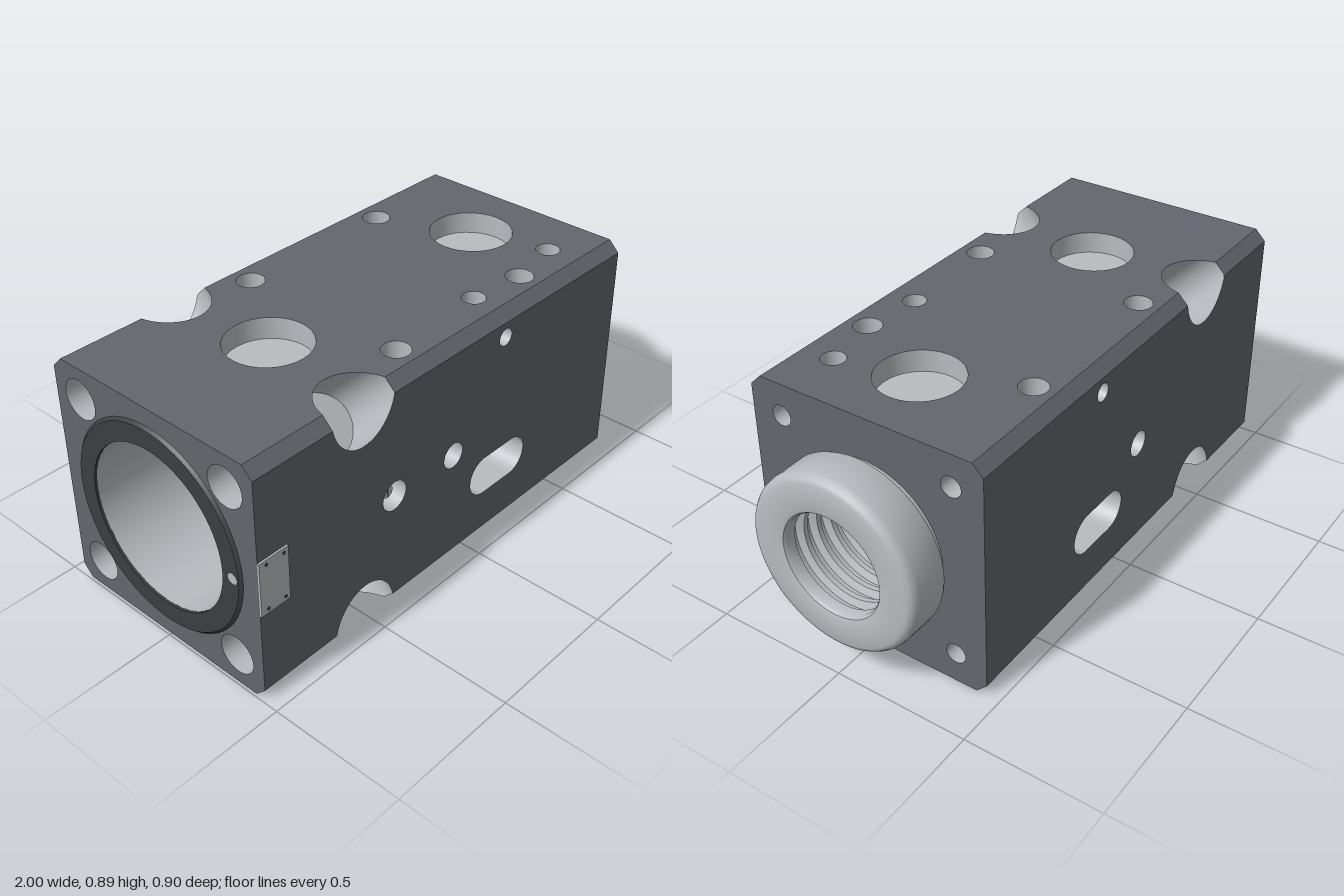
import * as THREE from 'three';
import { toCreasedNormals } from 'three/addons/utils/BufferGeometryUtils.js';
import { ParametricGeometry } from 'three/addons/geometries/ParametricGeometry.js';

const X0 = -0.99, X1 = 0.81;            // block ends
const H = 0.446, C = 0.04, E = H - C;   // half section, chamfer, flat edge
const NX = -0.53, NA = 0.14, NB = 0.166, ND = 0.286; // corner pockets
const BORE = 0.3;
const SLOT = { x: 0.155, y: -0.176, r: 0.075, half: 0.075 };

const paint = new THREE.MeshStandardMaterial({ color: 0x63666d });
const metal = new THREE.MeshStandardMaterial({ color: 0xb8bcc0 });
const metal2 = new THREE.MeshStandardMaterial({ color: 0xb8bcc0, side: THREE.DoubleSide });
const dark = new THREE.MeshStandardMaterial({ color: 0x3c3e42, side: THREE.DoubleSide });

function add(parent, name, geometry, material) {
  const mesh = new THREE.Mesh(geometry, material);
  mesh.name = name;
  parent.add(mesh);
  return mesh;
}

const surface = (fn, nu, nv) => new ParametricGeometry((u, v, p) => p.set(...fn(u, v)), nu, nv);

// Round hole below a local z = top plane: wall plus floor
function addHole(parent, [x, y, r, depth, open], top) {
  const wall = add(parent, 'holeWall', new THREE.CylinderGeometry(r, r, depth, 32, 1, true), metal2);
  wall.rotation.x = Math.PI / 2;
  wall.position.set(x, y, top - depth / 2);
  if (open) return;
  add(parent, 'holeFloor', new THREE.CircleGeometry(r, 32), metal).position.set(x, y, top - depth);
}

const circlePath = (x, y, r) => new THREE.Path().absarc(x, y, r, 0, Math.PI * 2, true);

function slotPath(y) {
  const { x, r, half } = SLOT;
  const path = new THREE.Path();
  path.absarc(x + half, y, r, -Math.PI / 2, Math.PI / 2, false);
  path.absarc(x - half, y, r, Math.PI / 2, Math.PI * 1.5, false);
  path.closePath();
  return path;
}

// Long face outline with half-elliptic pocket cut-outs on both edges
function sideShape() {
  const a = Math.asin(C / NB), pts = [[X0, -E]];
  const arc = (sign) => {
    for (let i = 0; i <= 24; i++) {
      const t = a + (Math.PI - 2 * a) * i / 24;
      pts.push([NX + sign * NA * Math.cos(t), sign * (H - NB * Math.sin(t))]);
    }
  };
  const lower = pts.length;
  arc(1);
  // reverse the lower arc into left-to-right order and mirror it down
  const seg = pts.splice(lower).reverse().map(([x, y]) => [x, -y]);
  pts.push(...seg, [X1, -E], [X1, E]);
  arc(1);
  pts.push([X0, E]);
  return new THREE.Shape(pts.map((p) => new THREE.Vector2(...p)));
}

// One long side with its holes, chamfer and corner pocket
function addSide(parent, name, angle, holes, slotY) {
  const g = new THREE.Group();
  g.name = name;
  g.rotation.x = angle;
  parent.add(g);
  const shape = sideShape();
  holes.forEach(([x, y, r]) => shape.holes.push(circlePath(x, y, r)));
  if (slotY) shape.holes.push(slotPath(slotY));
  add(g, 'sideFace', new THREE.ShapeGeometry(shape, 16), paint).position.z = H;
  holes.forEach((h) => addHole(g, h, H));

  // slot wall running from the face to the bore
  if (slotY) {
    const pts = slotPath(slotY).getSpacedPoints(64);
    add(g, 'slotWall', surface((u, v) => {
      const p = pts[Math.round(u * 64)];
      const inner = Math.sqrt(BORE * BORE - p.y * p.y);
      return [p.x, p.y, H + (inner - H) * v];
    }, 64, 1), metal2);
  }

  // chamfer strips either side of the pocket
  const w = NA * Math.sqrt(1 - (C / NB) ** 2);
  for (const [a, b] of [[X0, NX - w], [NX + w, X1]]) {
    const strip = add(g, 'chamfer', new THREE.PlaneGeometry(b - a, C * Math.SQRT2), paint);
    strip.position.set((a + b) / 2, (E + H) / 2, (E + H) / 2);
    strip.rotation.x = -Math.PI / 4;
  }

  // pocket drilled diagonally into the edge
  const at = (th, k, t) => {
    const s = k * NB * Math.SQRT1_2 * Math.sin(th);
    return [NX + k * NA * Math.cos(th), H + (s + t) * Math.SQRT1_2, H + (t - s) * Math.SQRT1_2];
  };
  add(g, 'pocketWall', surface((u, v) => {
    const th = u * Math.PI * 2;
    const rim = -Math.max(Math.abs(NB * Math.SQRT1_2 * Math.sin(th)), C * Math.SQRT1_2);
    return at(th, 1, -ND + (rim + ND) * v);
  }, 64, 4), metal2);
  add(g, 'pocketFloor', surface((u, v) => at(u * Math.PI * 2, 0.001 + 0.999 * v, -ND), 48, 1), metal2);
}

function addEnd(parent, name, angle, x, bore, r, depth) {
  const g = new THREE.Group();
  g.name = name;
  g.rotation.y = angle;
  parent.add(g);
  const shape = new THREE.Shape([[-E, -H], [E, -H], [H, -E], [H, E], [E, H], [-E, H], [-H, E], [-H, -E]]
    .map((p) => new THREE.Vector2(...p)));
  shape.holes.push(circlePath(0, 0, bore));
  for (const sx of [-1, 1]) for (const sy of [-1, 1]) {
    shape.holes.push(circlePath(sx * 0.328, sy * 0.328, r));
    addHole(g, [sx * 0.328, sy * 0.328, r, depth], x);
  }
  add(g, 'endFace', new THREE.ShapeGeometry(shape, 24), paint).position.z = x;
}

// Turned part about the x axis, from [radius, x] points
function addTurned(parent, name, profile, material) {
  const geo = new THREE.LatheGeometry(profile.map((p) => new THREE.Vector2(...p)), 72);
  add(parent, name, toCreasedNormals(geo, 0.6), material).rotation.z = -Math.PI / 2;
}

export function createModel() {
  const model = new THREE.Group();
  model.name = 'cylinderBlock';
  const body = new THREE.Group();
  body.name = 'body';
  body.position.set(0, H, -0.005);
  model.add(body);

  // holes: [x, y, radius, depth, open]
  const ports = [[-0.49, 0, 0.15, 0.08], [0.525, 0, 0.15, 0.08]];
  const bolts = [];
  for (const x of [-0.255, 0.38]) for (const y of [-0.328, 0.328]) bolts.push([x, y, 0.05, 0.1]);
  addSide(body, 'frontSide', 0,
    [[-0.39, 0.008, 0.055, 0.06], [-0.095, 0.005, 0.048, 0.12], [0.16, 0.35, 0.032, 2 * H, true]], SLOT.y);
  addSide(body, 'topSide', -Math.PI / 2,
    [...ports, ...bolts, [0.6, -0.287, 0.043, 0.1], [0.16, -0.305, 0.042, 0.1]]);
  addSide(body, 'backSide', Math.PI,
    [[-0.095, -0.005, 0.048, 0.12], [0.16, -0.35, 0.032, 0.02, true]], -SLOT.y);
  addSide(body, 'bottomSide', Math.PI / 2,
    [...ports, ...bolts, [0.58, 0.31, 0.025, 0.1], [0.16, 0.315, 0.025, 0.1]]);
  addEnd(body, 'rightEnd', Math.PI / 2, X1, 0.27, 0.037, 0.1);
  addEnd(body, 'leftEnd', -Math.PI / 2, -X0, BORE, 0.072, 0.31);

  // main bore, left open where the slot crosses it
  const boreEnd = 0.72;
  const gap = (phi) => {
    const dy = BORE * Math.sin(phi) - SLOT.y;
    return Math.abs(dy) < SLOT.r ? SLOT.half + Math.sqrt(SLOT.r ** 2 - dy * dy) : 0;
  };
  for (const side of [-1, 1]) {
    add(body, 'boreWall', surface((u, v) => {
      const phi = u * Math.PI * 2;
      const from = side < 0 ? X0 : boreEnd;
      const to = SLOT.x + side * gap(phi);
      return [from + (to - from) * v, BORE * Math.sin(phi), BORE * Math.cos(phi)];
    }, 180, 1), metal2);
  }

  // seal ring on the open end
  addTurned(body, 'sealRing', [[BORE, X0], [BORE, -1], [0.37, -1], [0.38, X0]], dark);
  const pin = add(body, 'ringPin', new THREE.CylinderGeometry(0.02, 0.02, 0.004, 20), metal);
  pin.rotation.z = Math.PI / 2;
  pin.position.set(-0.999, 0, 0.345);

  // threaded collar
  const collar = [[0.29, 0.8], [0.29, 0.835], [0.305, 0.835], [0.316, 0.84], [0.322, 0.852], [0.322, 0.965],
    [0.319, 0.981], [0.31, 0.994], [0.295, 1], [0.205, 1], [0.192, 0.996], [0.185, 0.985]];
  for (let x = 0.95; x > 0.75; x -= 0.06) {
    collar.push([0.185, x], [0.21, x - 0.012], [0.21, x - 0.03], [0.185, x - 0.042]);
  }
  collar.push([0.185, boreEnd], [BORE, boreEnd]);
  addTurned(body, 'threadedCollar', collar, metal2);

  // plug screw in the front hole
  const plug = add(body, 'plugScrew', new THREE.CylinderGeometry(0.024, 0.024, 0.03, 24), metal);
  plug.rotation.x = Math.PI / 2;
  plug.position.set(-0.39, 0.008, H - 0.045);
  add(body, 'plugSlot', new THREE.BoxGeometry(0.008, 0.036, 0.002), dark).position.set(-0.39, 0.008, H - 0.03);

  // blank data plate with rivets
  add(body, 'dataPlate', new THREE.BoxGeometry(0.12, 0.205, 0.007), metal).position.set(-0.93, 0.007, H + 0.0035);
  for (const sx of [-1, 1]) for (const sy of [-1, 1]) {
    const rivet = add(body, 'rivet', new THREE.CylinderGeometry(0.006, 0.006, 0.003, 12), dark);
    rivet.rotation.x = Math.PI / 2;
    rivet.position.set(-0.925 + sx * 0.036, 0.007 + sy * 0.085, H + 0.0075);
  }
  return model;
}
